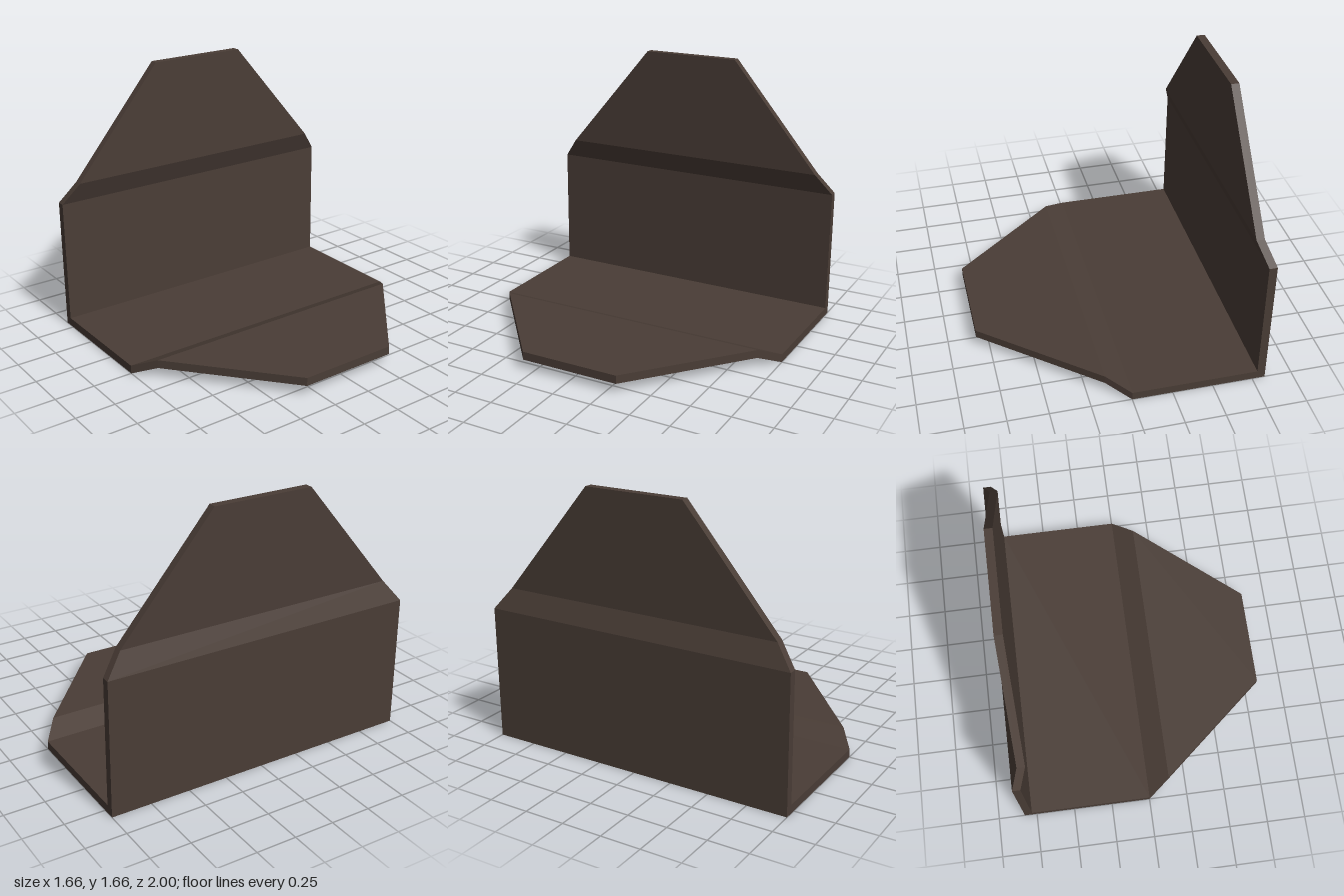
import * as THREE from 'three';

// Bent plate lofted through stations [outerX, outerY, innerX, innerY, halfWidth]
function bentPlate(name, stations, material) {
  const rings = stations.map(([ox, oy, ix, iy, w]) => [
    [ox, oy, w], [ox, oy, -w], [ix, iy, -w], [ix, iy, w],
  ]);
  const positions = [];
  const quad = (a, b, c, d) => [a, b, c, a, c, d].forEach((p) => positions.push(...p));

  // Faces around the plate between neighbouring stations
  for (let s = 0; s < rings.length - 1; s++) {
    for (let i = 0; i < 4; i++) {
      const j = (i + 1) % 4;
      quad(rings[s][i], rings[s][j], rings[s + 1][j], rings[s + 1][i]);
    }
  }
  // End faces
  const first = rings[0];
  const last = rings[rings.length - 1];
  quad(first[3], first[2], first[1], first[0]);
  quad(last[0], last[1], last[2], last[3]);

  const geometry = new THREE.BufferGeometry();
  geometry.setAttribute('position', new THREE.Float32BufferAttribute(positions, 3));
  geometry.computeVertexNormals();
  const mesh = new THREE.Mesh(geometry, material);
  mesh.name = name;
  return mesh;
}

export function createModel() {
  const group = new THREE.Group();
  group.name = 'angleBracket';
  const darkBrown = new THREE.MeshStandardMaterial({ color: 0x4a3d36 });
  darkBrown.name = 'darkBrown';

  // Both plates meet at a mitred corner
  const corner = [-0.83, 0, -0.78, 0.052, 1];

  // Upright plate, from its narrow top down to the corner
  group.add(bentPlate('uprightPlate', [
    [-0.78, 1.66, -0.73, 1.66, 0.317],
    [-0.78, 0.972, -0.73, 0.972, 0.895],
    [-0.83, 0.84, -0.78, 0.84, 1],
    corner,
  ], darkBrown));

  // Base plate, from the corner out to its narrow raised tip
  group.add(bentPlate('basePlate', [
    corner,
    [0, 0, 0, 0.052, 1],
    [0.14, 0.064, 0.14, 0.116, 0.895],
    [0.828, 0.064, 0.828, 0.116, 0.317],
  ], darkBrown));

  return group;
}
